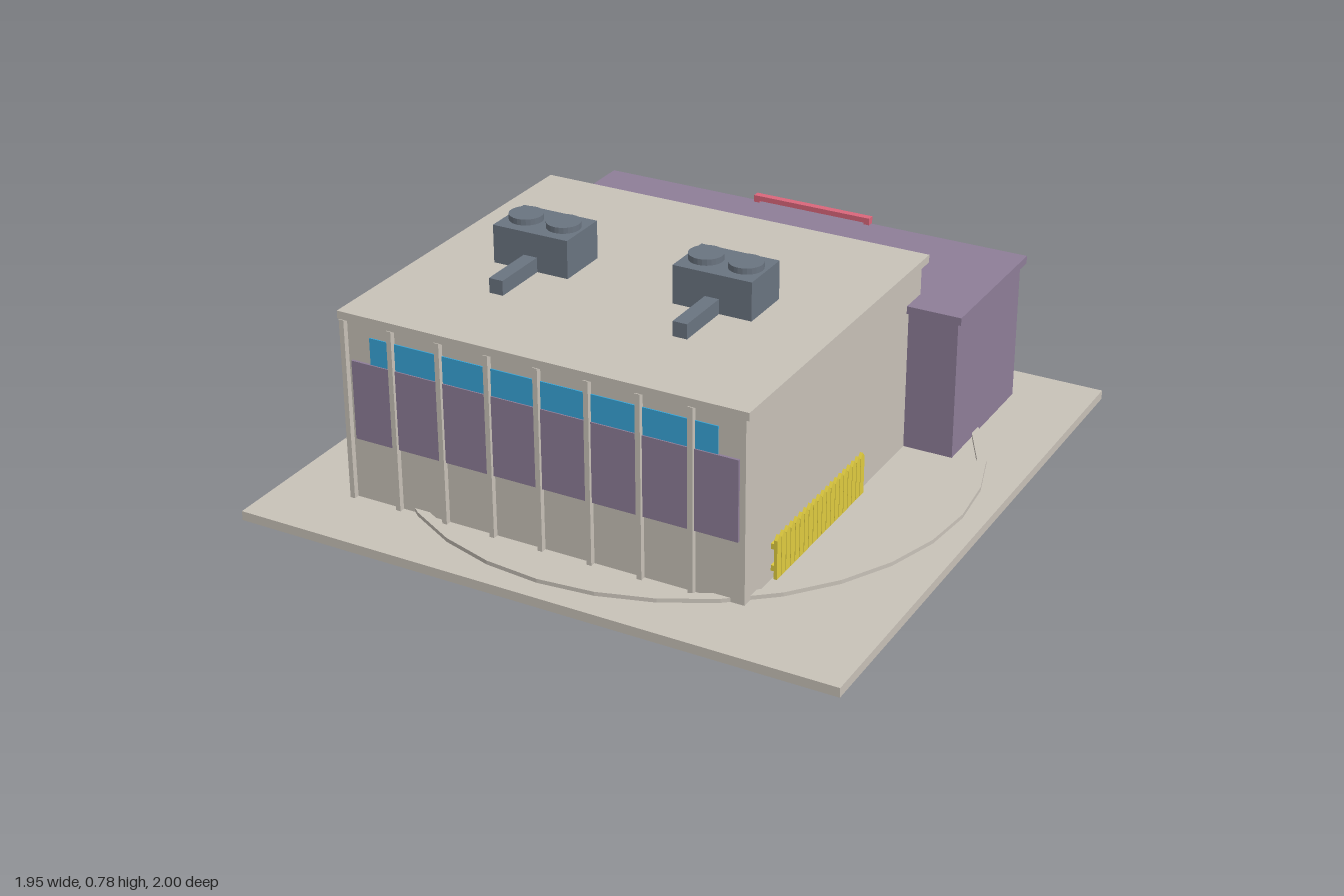
import * as THREE from 'three';

const mat = (color) => new THREE.MeshStandardMaterial({ color, flatShading: true });

export function createModel() {
  const model = new THREE.Group();
  const stone = mat(0xc8c2b8), purple = mat(0x8e7e98), glass = mat(0x38a5d8);
  const red = mat(0xda667b), yellow = mat(0xe0cc40), slate = mat(0x6a7480);

  const add = (name, geometry, material, parent = model) => {
    const mesh = new THREE.Mesh(geometry, material);
    mesh.name = name;
    parent.add(mesh);
    return mesh;
  };
  // Box given by its limits on each axis
  const box = (name, material, [x0, x1], [y0, y1], [z0, z1], parent) => {
    const mesh = add(name, new THREE.BoxGeometry(x1 - x0, y1 - y0, z1 - z0), material, parent);
    mesh.position.set((x0 + x1) / 2, (y0 + y1) / 2, (z0 + z1) / 2);
    return mesh;
  };
  // Flat outline in x and z, raised from y0 to y1
  const slab = (name, material, shape, y0, y1, curveSegments = 12) => {
    const geo = new THREE.ExtrudeGeometry(shape, { depth: y1 - y0, bevelEnabled: false, curveSegments });
    geo.rotateX(-Math.PI / 2); // shape y becomes -z
    const mesh = add(name, geo, material);
    mesh.position.y = y0;
    return mesh;
  };

  // Ground plate and ring kerb
  box('groundPlate', stone, [-0.975, 0.975], [0, 0.03], [-0.95, 1]);
  const ring = new THREE.Shape().absarc(0, 0, 0.905, 0, Math.PI * 2);
  ring.holes.push(new THREE.Path().absarc(0, 0, 0.875, 0, Math.PI * 2, true));
  slab('ringKerb', stone, ring, 0.03, 0.043, 16).position.z = 0.025;

  // Main hall
  box('hallWalls', stone, [-0.735, 0.568], [0.03, 0.615], [-0.385, 0.76]);
  box('hallRoof', stone, [-0.75, 0.585], [0.615, 0.64], [-0.4, 0.775]);
  box('frontPanel', purple, [-0.715, 0.55], [0.23, 0.485], [0.755, 0.768]);
  box('frontWindow', glass, [-0.65, 0.485], [0.485, 0.57], [0.755, 0.764]);
  box('sidePanel', purple, [-0.743, -0.73], [0.23, 0.485], [-0.395, 0.715]);
  for (let i = 0; i < 8; i++) {
    const x = -0.735 + i * 0.163;
    box('frontColumn', stone, [x - 0.008, x + 0.008], [0.03, 0.615], [0.755, 0.778]);
    const z = 0.74 - i * 0.155;
    box('sideColumn', stone, [-0.753, -0.73], [0.03, 0.615], [z - 0.008, z + 0.008]);
  }

  // Low rear wing, L-shaped in plan
  const wingPlan = (x0, x1, xIn, zBack, zMid, zFront) => new THREE.Shape(
    [[x0, zMid], [xIn, zMid], [xIn, zFront], [x1, zFront], [x1, zBack], [x0, zBack]]
      .map(([x, z]) => new THREE.Vector2(x, -z)));
  slab('wingWalls', purple, wingPlan(-0.738, 0.73, 0.56, -0.79, -0.38, -0.3), 0.03, 0.49);
  slab('wingRoof', purple, wingPlan(-0.75, 0.745, 0.56, -0.805, -0.38, -0.285), 0.487, 0.512);

  // Strip of rear windows with bars between the panes
  const pane = 0.125;
  for (let i = 0; i < 10; i++) {
    const x = -0.625 + i * pane;
    box('rearWindow', glass, [x + 0.004, x + pane - 0.004], [0.3, 0.44], [-0.796, -0.785]);
    if (i) box('windowBar', purple, [x - 0.004, x + 0.004], [0.3, 0.44], [-0.799, -0.785]);
  }

  // Entrance: doors, frame and canopy
  const entrance = new THREE.Group();
  entrance.name = 'entrance';
  model.add(entrance);
  for (const s of [-1, 1]) {
    const span = (a, b) => (s > 0 ? [a, b] : [-b, -a]);
    box('doorLeaf', glass, span(0.004, 0.13), [0.03, 0.24], [-0.798, -0.785], entrance);
    box('framePost', red, span(0.188, 0.208), [0.03, 0.535], [-0.812, -0.788], entrance);
  }
  box('doorBar', purple, [-0.004, 0.004], [0.03, 0.24], [-0.8, -0.785], entrance);
  box('frameTopBar', red, [-0.208, 0.208], [0.518, 0.535], [-0.812, -0.788], entrance);
  box('frameLowerBar', red, [-0.208, 0.208], [0.478, 0.49], [-0.811, -0.789], entrance);
  box('canopy', red, [-0.218, 0.218], [0.28, 0.296], [-1, -0.788], entrance);

  // Picket fence along the side wall
  const fence = new THREE.Group();
  fence.name = 'fence';
  model.add(fence);
  const picket = new THREE.Shape(
    [[-0.0125, 0], [0.0125, 0], [0.0125, 0.125], [0, 0.14], [-0.0125, 0.125]]
      .map(([x, y]) => new THREE.Vector2(x, y)));
  const picketGeo = new THREE.ExtrudeGeometry(picket, { depth: 0.01, bevelEnabled: false });
  picketGeo.rotateY(Math.PI / 2);
  for (let i = 0; i < 20; i++) {
    add('picket', picketGeo, yellow, fence).position.set(0.578, 0.035, 0.045 + i * 0.0287);
  }
  for (const y of [0.06, 0.13]) {
    box('fenceRail', yellow, [0.567, 0.579], [y, y + 0.018], [0.033, 0.602], fence);
  }

  // Rooftop cooling units, each with two fans and a duct
  const fanGeo = new THREE.CylinderGeometry(0.053, 0.053, 0.02, 24);
  for (const x of [-0.408, 0.202]) {
    const unit = new THREE.Group();
    unit.name = 'coolingUnit';
    unit.position.set(x, 0.64, 0);
    model.add(unit);
    box('unitCase', slate, [-0.128, 0.128], [0, 0.122], [0.098, 0.272], unit);
    box('unitDuct', slate, [-0.023, 0.023], [0, 0.047], [0.27, 0.462], unit);
    for (const s of [-1, 1]) add('unitFan', fanGeo, slate, unit).position.set(s * 0.065, 0.131, 0.185);
  }
  return model;
}
